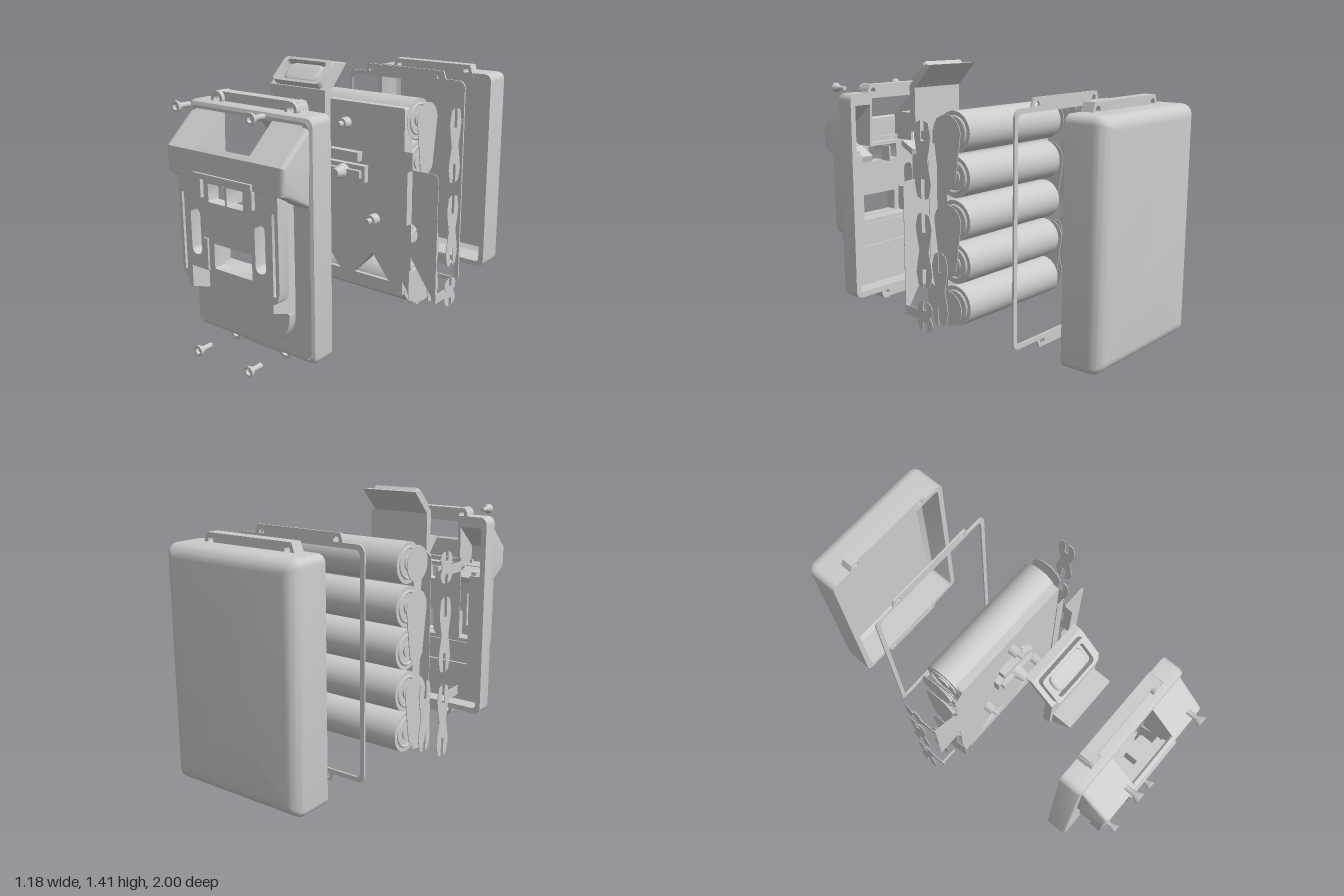
import * as THREE from 'three';
import { toCreasedNormals } from 'three/addons/utils/BufferGeometryUtils.js';

const grey = new THREE.MeshStandardMaterial({ color: 0xcccccc, side: THREE.DoubleSide });
const CELL_Y = [1.08, 0.854, 0.628, 0.402, 0.176], CELL_Z = -0.09, CELL_R = 0.107;

// Helpers ---------------------------------------------------------------
function add(parent, name, geo) {
  const m = new THREE.Mesh(toCreasedNormals(geo, 0.6), grey);
  m.name = name;
  parent.add(m);
  return m;
}
function group(parent, name) {
  const g = new THREE.Group();
  g.name = name;
  parent.add(g);
  return g;
}
const poly = pts => new THREE.Shape(pts.map(p => new THREE.Vector2(p[0], p[1])));
const mirrored = pts => [...pts, ...pts.slice().reverse().map(([x, y]) => [-x, y])];
function box(x0, x1, y0, y1, z0, z1) {
  return new THREE.BoxGeometry(x1 - x0, y1 - y0, z1 - z0)
    .translate((x0 + x1) / 2, (y0 + y1) / 2, (z0 + z1) / 2);
}
// Points of a rounded rectangle, counter-clockwise
function roundRect(x0, x1, y0, y1, r, n = 6) {
  const pts = [];
  [[x1 - r, y1 - r], [x0 + r, y1 - r], [x0 + r, y0 + r], [x1 - r, y0 + r]].forEach(([cx, cy], k) => {
    for (let i = 0; i <= n; i++) {
      const a = (k + i / n) * Math.PI / 2;
      pts.push([cx + r * Math.cos(a), cy + r * Math.sin(a)]);
    }
  });
  return pts;
}
// Outline in x,y pushed from z0 to z1
function plate(shape, z0, z1, holes = []) {
  shape.holes.push(...holes.map(poly));
  return new THREE.ExtrudeGeometry(shape, { depth: z1 - z0, bevelEnabled: false, curveSegments: 16 })
    .translate(0, 0, z0);
}
// Outline in z,y pushed from x0 to x1
function slab(shape, x0, x1, bevel = 0) {
  return new THREE.ExtrudeGeometry(shape, {
    depth: x1 - x0 - 2 * bevel, bevelEnabled: bevel > 0, bevelSize: bevel, bevelThickness: bevel,
    bevelOffset: -bevel, bevelSegments: 4, curveSegments: 16,
  }).rotateY(-Math.PI / 2).translate(x1 - bevel, 0, 0);
}
// Round part along z
function rod(r0, r1, x, y, z0, z1, sides = 20) {
  return new THREE.CylinderGeometry(r1, r0, z1 - z0, sides).rotateX(Math.PI / 2).translate(x, y, (z0 + z1) / 2);
}
// Skin through case outlines given as [inset, z]
function caseLoft(sections) {
  const pos = [], idx = [];
  let n = 0;
  sections.forEach(([s, z], k) => {
    const pts = roundRect(-0.4 + s, 0.4 - s, 0.045 + s, 1.225 - s, Math.max(0.04 - s * 0.6, 0.004));
    n = pts.length;
    pts.forEach(p => pos.push(p[0], p[1], z));
    if (k) for (let i = 0; i < n; i++) {
      const a = (k - 1) * n + i, b = (k - 1) * n + (i + 1) % n;
      idx.push(a, a + n, b + n, a, b + n, b);
    }
  });
  const g = new THREE.BufferGeometry();
  g.setAttribute('position', new THREE.Float32BufferAttribute(pos, 3));
  g.setIndex(idx);
  return g;
}
// Screw ears above and below a case part
function ears(parent, z0, z1) {
  for (const [x, y, edge, out] of [[0.235, 1.235, 1.2, 1.27], [0.17, 0.035, 0.07, 0.005]]) {
    const s = poly(mirrored([[x + 0.05, edge], [x + 0.038, y], [x + 0.025, out]]));
    add(parent, 'screwEar', plate(s, z0, z1, [x, -x].map(c => roundRect(c - 0.017, c + 0.017, y - 0.017, y + 0.017, 0.0169))));
  }
}

function buildCover(root) {
  const g = group(root, 'frontCover');
  add(g, 'coverRim', caseLoft([[0.025, 0.785], [0.008, 0.78], [0, 0.762], [0, 0.665], [0.032, 0.665], [0.032, 0.765]]));
  const opening = mirrored([[0.25, 0.31], [0.25, 0.86], [0.34, 0.86], [0.34, 1.185]]);
  add(g, 'coverFace', plate(poly(roundRect(-0.375, 0.375, 0.07, 1.2, 0.03)), 0.758, 0.785, [opening]));
  ears(g, 0.665, 0.725);
  for (const [x, y] of [[0.235, 1.235], [0.17, 0.035]]) for (const s of [1, -1]) {
    const ring = new THREE.Shape().absarc(s * x, y, 0.038, 0, Math.PI * 2);
    add(g, 'screwBoss', plate(ring, 0.665, 0.745, [roundRect(s * x - 0.02, s * x + 0.02, y - 0.02, y + 0.02, 0.0199)]));
  }
  // Sloped hood with the latch window
  const outer = [[0.77, 1.19], [0.95, 1.03], [0.95, 0.9], [0.78, 0.81]];
  const band = [...outer, [0.77, 0.845], [0.92, 0.92], [0.92, 1.015], [0.77, 1.145]];
  for (const s of [1, -1]) {
    const side = (shape, a, b, bevel) => slab(shape, Math.min(s * a, s * b), Math.max(s * a, s * b), bevel);
    add(g, 'hoodShell', side(poly(band), 0.16, 0.35));
    add(g, 'hoodEnd', side(poly(outer), 0.315, 0.378, 0.025));
    add(g, 'windowCheek', side(poly([[0.77, 1.19], [0.95, 1.03], [0.95, 0.9], [0.78, 0.9]]), 0.155, 0.172));
    add(g, 'railWall', side(poly([[0.78, 0.29], [0.84, 0.3], [0.935, 0.335], [0.935, 0.88], [0.78, 0.88]]), 0.25, 0.28));
  }
  add(g, 'hoodBrow', slab(poly([[0.93, 1.05], [0.95, 1.03], [0.95, 0.9], [0.92, 0.9], [0.92, 1.04]]), -0.16, 0.16));
  // Slide plate with rails, slots and contact windows
  const slide = poly(mirrored([[0.25, 0.445], [0.25, 0.375], [0.285, 0.38], [0.31, 0.4], [0.32, 0.44], [0.32, 0.9]]));
  const holes = [roundRect(-0.09, 0.155, 0.465, 0.59, 0.004),
    roundRect(-0.115, -0.006, 0.79, 0.88, 0.004), roundRect(0.006, 0.11, 0.79, 0.88, 0.004)];
  for (const s of [1, -1]) {
    holes.push(roundRect(s * 0.21 - 0.033, s * 0.21 + 0.033, 0.51, 0.745, 0.032));
    holes.push(roundRect(s * 0.292 - 0.008, s * 0.292 + 0.008, 0.42, 0.81, 0.002));
  }
  add(g, 'slidePlate', plate(slide, 0.87, 0.935, holes));
  add(g, 'slideStep', box(-0.25, 0.25, 0.44, 0.462, 0.785, 0.87));
  add(g, 'slideRib', box(-0.15, -0.125, 0.45, 0.61, 0.8, 0.945));
  add(g, 'contactFrameTop', box(-0.185, 0.185, 0.905, 0.93, 0.9, 0.962));
  for (const s of [1, -1]) add(g, 'contactFrameSide', box(s * 0.165 - 0.02, s * 0.165 + 0.02, 0.81, 0.91, 0.9, 0.955));
  add(g, 'contactDivider', box(-0.006, 0.006, 0.79, 0.88, 0.8, 0.935));
  // Rounded tongue below the slide plate
  const tongue = new THREE.Shape();
  tongue.moveTo(-0.25, 0.44).lineTo(-0.25, 0.3).lineTo(-0.28, 0.29);
  tongue.bezierCurveTo(-0.28, 0.17, -0.2, 0.105, -0.1, 0.105).lineTo(0.1, 0.105);
  tongue.bezierCurveTo(0.2, 0.105, 0.28, 0.17, 0.28, 0.29).lineTo(0.25, 0.3).lineTo(0.25, 0.44);
  add(g, 'tongue', plate(tongue, 0.775, 0.828));
}

function buildLatch(root) {
  const g = group(root, 'latch');
  add(g, 'latchPlate', slab(poly([[0.43, 1.03], [0.43, 1.275], [0.305, 1.39], [0.265, 1.39], [0.39, 1.262], [0.39, 1.02], [0.43, 1.02]]), -0.175, 0.175));
  add(g, 'latchHook', slab(poly([[0.425, 1.02], [0.45, 1.02], [0.535, 1.11], [0.535, 1.12], [0.425, 1.12]]), -0.155, 0.155));
  add(g, 'springPost', rod(0.028, 0.028, 0, 1.05, 0.37, 0.39));
  // Raised frame and finger pad lying on the slope
  const pad = group(g, 'fingerPad');
  pad.position.set(0, 1.325, 0.368);
  pad.rotation.x = -0.83;
  add(pad, 'padFrame', plate(poly(roundRect(-0.15, 0.15, -0.075, 0.075, 0.02)), 0, 0.04, [roundRect(-0.125, 0.125, -0.06, 0.06, 0.02)]));
  const dish = new THREE.ExtrudeGeometry(poly(roundRect(-0.11, 0.11, -0.055, 0.055, 0.04)),
    { depth: 0.012, bevelSize: 0.015, bevelOffset: -0.015, bevelThickness: 0.015, bevelSegments: 3 });
  add(pad, 'padDish', dish);
}

function buildCells(root) {
  const g = group(root, 'cellPack');
  for (const y of CELL_Y) {
    add(g, 'cell', new THREE.CylinderGeometry(CELL_R, CELL_R, 0.74, 40).rotateZ(Math.PI / 2).translate(0, y, CELL_Z));
    for (const s of [1, -1]) {
      add(g, 'cellEndRing', new THREE.TorusGeometry(0.078, 0.008, 8, 32).rotateY(Math.PI / 2).translate(s * 0.37, y, CELL_Z));
      add(g, 'cellTerminal', new THREE.CylinderGeometry(0.04, 0.04, 0.01, 24).rotateZ(Math.PI / 2).translate(s * 0.373, y, CELL_Z));
    }
  }
  // Carrier in front of the cells with triangular cut-outs, posts and contact block
  const cut = [1, -1].map(s => [[s * 0.05, 0.2], [s * 0.28, 0.2], [s * 0.17, 0.34]]);
  add(g, 'carrier', plate(poly(roundRect(-0.368, 0.368, 0.13, 1.15, 0.01)), -0.035, 0.035, cut));
  for (const [x, y] of [[-0.2, 0.555], [0.19, 0.535], [0, 1.035]]) {
    add(g, 'post', rod(0.03, 0.03, x, y, 0.03, 0.085));
    add(g, 'postTip', rod(0.016, 0.016, x, y, 0.085, 0.115));
  }
  add(g, 'contactBlock', box(-0.14, 0.14, 0.73, 0.82, 0.03, 0.068));
  add(g, 'contactRidge', box(-0.12, 0.12, 0.755, 0.795, 0.068, 0.09));
  add(g, 'contactPin', rod(0.045, 0.025, 0, 0.775, 0.06, 0.145));
  add(g, 'upperContact', box(-0.1, 0.1, 0.84, 0.89, 0.03, 0.075));
}

// Slotted metal strip joining cells a and b
function forkShape(ya, yb) {
  const top = ya + 0.08, bot = yb - 0.08, mid = (top + bot) / 2, d = Math.min(0.1, (top - bot) * 0.3);
  const q = [[0.012, d], [0.012, 0], [0.04, 0.012], [0.055, d * 0.75], [0.048, d * 1.2]];
  const right = [...q.map(([x, y]) => [x, top - y]), [0.032, mid], ...q.slice().reverse().map(([x, y]) => [x, bot + y])];
  return poly(mirrored(right).map(([z, y]) => [CELL_Z + z, y]));
}
function buildStrips(root) {
  const g = group(root, 'connectorStrips');
  for (const [s, pairs] of [[1, [[0, 1], [2, 3], [4, 4]]], [-1, [[0, 0], [1, 2], [3, 4]]]]) {
    for (const [a, b] of pairs) {
      const ya = CELL_Y[a], yb = CELL_Y[b];
      add(g, 'connectorStrip', slab(forkShape(ya, yb), s * 0.588 - 0.002, s * 0.588 + 0.002));
      const pad = new THREE.Shape();
      pad.absarc(CELL_Z, ya, 0.092, 0, Math.PI).absarc(CELL_Z, yb, a === b ? 0.092 : 0.06, Math.PI, Math.PI * 2);
      add(g, 'insulatorPad', slab(pad, s * 0.422 - 0.002, s * 0.422 + 0.002));
    }
    add(g, 'innerStrip', slab(forkShape(CELL_Y[3], CELL_Y[4]), s * 0.48 - 0.002, s * 0.48 + 0.002));
  }
  // Front tabs and folded insulators
  const right = new THREE.Shape();
  right.moveTo(0.43, 0.38).lineTo(0.587, 0.15).lineTo(0.587, 0.81).quadraticCurveTo(0.587, 0.845, 0.55, 0.845);
  right.lineTo(0.43, 0.845).lineTo(0.43, 0.56).bezierCurveTo(0.49, 0.56, 0.49, 0.46, 0.43, 0.46);
  add(g, 'rightTab', plate(right, 0.05, 0.054));
  const left = new THREE.Shape();
  left.moveTo(-0.588, 0.69).lineTo(-0.48, 0.69).quadraticCurveTo(-0.435, 0.69, -0.435, 0.74);
  left.lineTo(-0.435, 0.96).quadraticCurveTo(-0.435, 1.01, -0.475, 1.035).lineTo(-0.588, 1.11);
  add(g, 'leftTab', plate(left, 0.052, 0.056));
  add(g, 'smallTab', box(-0.588, -0.49, 0.39, 0.43, 0.036, 0.04));
  add(g, 'rightTabFold', box(0.429, 0.433, 0.56, 0.84, 0.05, 0.1));
  const arms = [[0.587, 0.176], [-0.588, 1.06], [-0.588, 0.41]];
  for (const [x, y] of arms) add(g, 'tabArm', box(x - 0.002, x + 0.002, y - 0.02, y + 0.03, -0.06, 0.054));
  add(g, 'rightInsulator', plate(poly([[0.37, 0.22], [0.422, 0.15], [0.422, 0.93], [0.37, 0.93]]), 0.036, 0.04));
  add(g, 'leftInsulator', plate(poly([[-0.37, 0.2], [-0.37, 1.14], [-0.424, 1.1], [-0.424, 0.13]]), 0.036, 0.04));
  for (const s of [1, -1]) add(g, 'insulatorArm', slab(poly([[0.055, 0.3], [-0.08, 0.24], [-0.11, 0.1], [-0.03, 0.08], [0.055, 0.14]]), s * 0.422 - 0.002, s * 0.422 + 0.002));
}

export function createModel() {
  const root = new THREE.Group();
  root.name = 'batteryPack';
  buildCover(root);
  buildLatch(root);
  buildCells(root);
  buildStrips(root);
  // Gasket
  const gasket = group(root, 'gasket');
  add(gasket, 'gasketRing', plate(poly(roundRect(-0.4, 0.4, 0.045, 1.225, 0.04)), -0.506, -0.496, [roundRect(-0.375, 0.375, 0.07, 1.2, 0.03)]));
  ears(gasket, -0.506, -0.496);
  // Rear shell: floor, inner wall, rim, outer wall and rounded back
  const back = group(root, 'rearShell');
  const sections = [[0, -0.79], [0, -0.935]];
  for (let i = 1; i <= 8; i++) {
    const a = i * Math.PI / 16;
    sections.push([0.065 * (1 - Math.cos(a)), -0.935 - 0.065 * Math.sin(a)]);
  }
  add(back, 'shell', caseLoft([[0.399, -0.97], [0.055, -0.97], [0.032, -0.945], [0.032, -0.79], ...sections, [0.399, -1]]));
  ears(back, -0.85, -0.787);
  // Screws
  for (const [x, y] of [[0.235, 1.235], [0.17, 0.035]]) for (const s of [1, -1]) {
    const g = group(root, 'screw');
    const profile = [[0, 0], [0.013, 0], [0.013, 0.05], [0.028, 0.075], [0.028, 0.085], [0.016, 0.085], [0.014, 0.07], [0, 0.07]];
    add(g, 'screwBody', new THREE.LatheGeometry(profile.map(p => new THREE.Vector2(...p)), 24).rotateX(Math.PI / 2).translate(s * x, y, 0.915));
  }
  return root;
}
